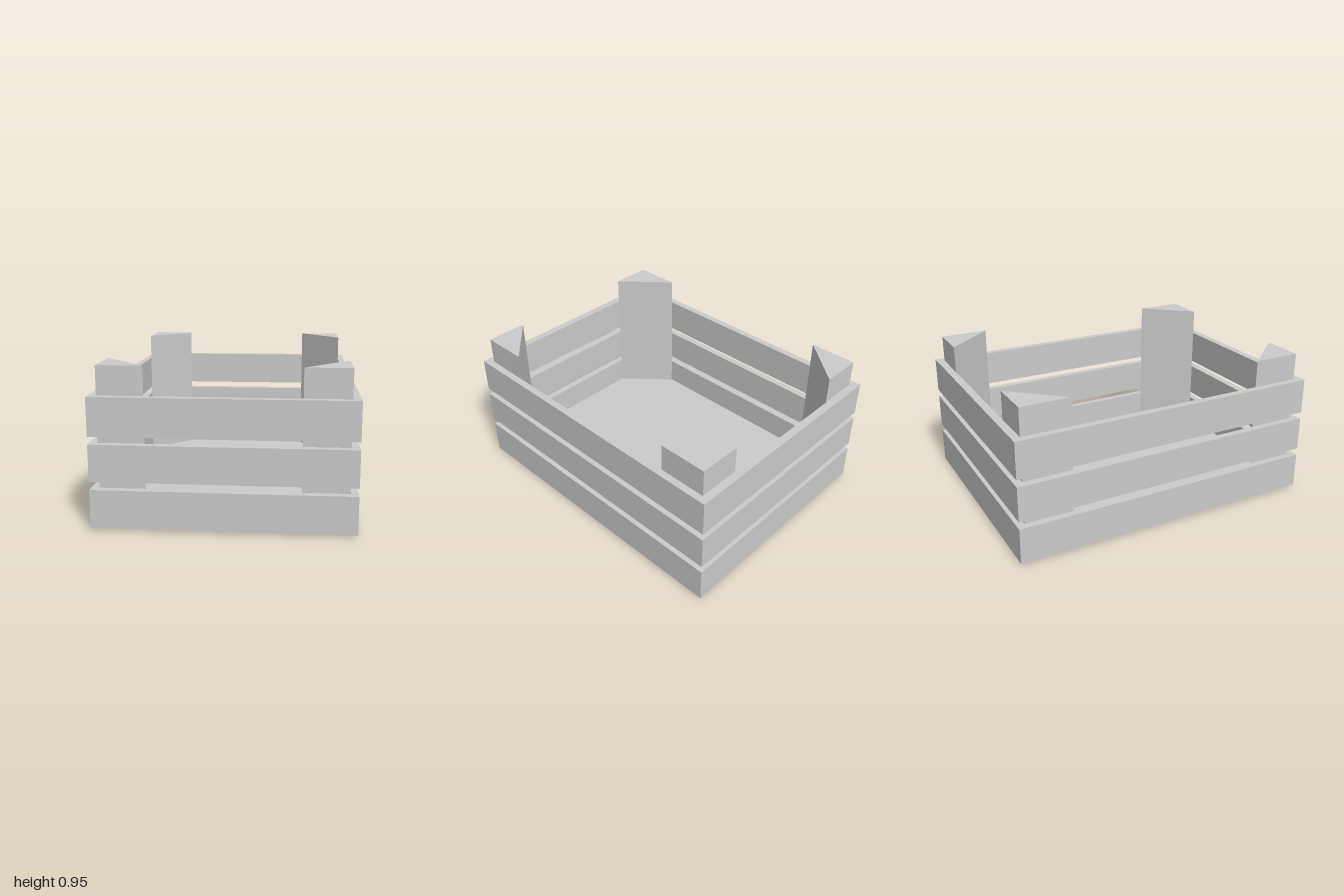
import * as THREE from 'three';

const material = new THREE.MeshStandardMaterial({ color: 0xcccccc, flatShading: true });

const outline = (points) => points.map(([x, z]) => new THREE.Vector2(x, -z));
// Counter-clockwise, so that walls of holes face inwards
const rectangle = (x, z) => outline([[-x, z], [x, z], [x, -z], [-x, -z]]);

// Raises a plan-view shape (x, z) from height y0 to y1
function prism(name, shape, y0, y1) {
  const geometry = new THREE.ExtrudeGeometry(shape, { depth: y1 - y0, bevelEnabled: false });
  geometry.rotateX(-Math.PI / 2).translate(0, y0, 0);
  const mesh = new THREE.Mesh(geometry, material);
  mesh.name = name;
  return mesh;
}

export function createModel() {
  const crate = new THREE.Group();
  crate.name = 'crate';

  // Floor panel, let into the lowest slats
  const floor = new THREE.Mesh(new THREE.BoxGeometry(1.47, 0.06, 1.932), material);
  floor.name = 'floor';
  floor.position.set(-0.005, 0.03, -0.009);
  crate.add(floor);

  // Three bands of slats running round all four sides
  const bands = [['lowerSlats', 0.012, 0.24], ['middleSlats', 0.288, 0.507], ['upperSlats', 0.553, 0.781]];
  for (const [name, y0, y1] of bands) {
    const shape = new THREE.Shape(rectangle(0.765, 1));
    shape.holes.push(new THREE.Path(rectangle(0.72, 0.95)));
    crate.add(prism(name, shape, y0, y1));
  }

  // Triangular corner posts
  for (const [sx, xName] of [[1, 'Left'], [-1, 'Right']]) {
    for (const [sz, zName] of [[1, 'front'], [-1, 'back']]) {
      const corner = outline([[sx * 0.717, sz * 0.949], [sx * 0.447, sz * 0.949], [sx * 0.717, sz * 0.64]]);
      crate.add(prism(`${zName}${xName}Post`, new THREE.Shape(corner), 0.04, 0.953));
    }
  }
  return crate;
}
